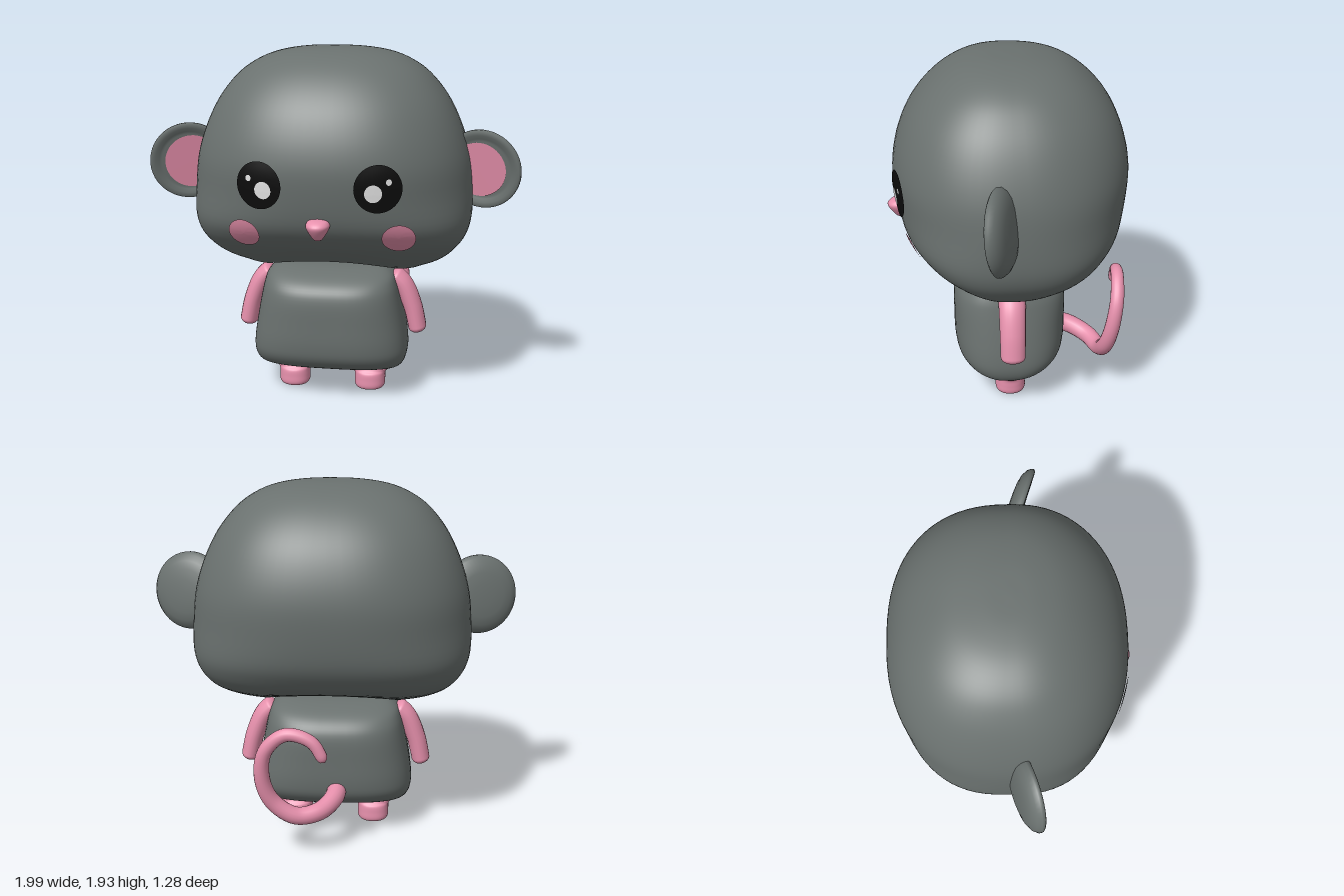
import * as THREE from 'three';
import { mergeVertices } from 'three/addons/utils/BufferGeometryUtils.js';

const paint = (name, color) => {
  const m = new THREE.MeshStandardMaterial({ color });
  m.name = name;
  return m;
};

function part(name, geometry, material, parent) {
  const m = new THREE.Mesh(geometry, material);
  m.name = name;
  parent.add(m);
  return m;
}

// Weld seams and poles, then smooth the normals
function smooth(geo) {
  geo.deleteAttribute('normal');
  geo.deleteAttribute('uv');
  const g = mergeVertices(geo, 1e-4);
  g.computeVertexNormals();
  return g;
}

// Rows are [y, half width, front depth, back depth], bottom to top, splined to `count` rows
function refine(rows, count) {
  const p = new THREE.CatmullRomCurve3(rows.map(r => new THREE.Vector3(r[0], r[1], r[2])), false, 'catmullrom');
  const q = new THREE.CatmullRomCurve3(rows.map(r => new THREE.Vector3(r[3], 0, 0)), false, 'catmullrom');
  return Array.from({ length: count + 1 }, (_, i) => {
    const a = p.getPoint(i / count), b = q.getPoint(i / count);
    return [a.x, Math.max(0, a.y), Math.max(0, a.z), Math.max(0, b.x)];
  });
}

// Superellipse layers joined into a closed skin; power(y, isFront) sets the squareness
function loft(rows, power, seg = 64, bend = (x, y) => y) {
  const pos = [], idx = [];
  for (const [y, a, f, b] of rows) {
    for (let j = 0; j <= seg; j++) {
      const t = ((j % seg) / seg) * Math.PI * 2;
      const front = Math.sin(t) > 0, n = power(y, front);
      const pw = v => Math.sign(v) * Math.pow(Math.abs(v), 2 / n);
      const x = a * pw(Math.cos(t));
      pos.push(x, bend(x, y), pw(Math.sin(t)) * (front ? f : b));
    }
  }
  for (let i = 0; i < rows.length - 1; i++) {
    for (let j = 0; j < seg; j++) {
      const a = i * (seg + 1) + j, c = a + seg + 1;
      idx.push(a, c, a + 1, a + 1, c, c + 1);
    }
  }
  const g = new THREE.BufferGeometry();
  g.setAttribute('position', new THREE.Float32BufferAttribute(pos, 3));
  g.setIndex(idx);
  return smooth(g);
}

// Tube with a changing radius and rounded ends
function limb(points, r0, r1, round, zScale = 1) {
  const curve = new THREE.CatmullRomCurve3(points.map(p => new THREE.Vector3(...p)));
  const segs = 90, radial = 18;
  const g = new THREE.TubeGeometry(curve, segs, 1, radial);
  const pos = g.attributes.position, v = new THREE.Vector3();
  for (let i = 0; i < pos.count; i++) {
    const t = Math.floor(i / (radial + 1)) / segs;
    const c = curve.getPointAt(t);
    const d = Math.min(1, Math.min(t, 1 - t) / round);
    const r = (r0 + (r1 - r0) * t) * Math.sqrt(1 - (1 - d) * (1 - d));
    v.fromBufferAttribute(pos, i).sub(c).multiplyScalar(r);
    v.z *= zScale;
    v.add(c);
    pos.setXYZ(i, v.x, v.y, v.z);
  }
  return smooth(g);
}

// Head is squarer around the jaw than higher up
const headPower = (y, front) =>
  THREE.MathUtils.lerp(2.85, front ? 2.28 : 2.4, THREE.MathUtils.smoothstep(y, 0.85, 1.25));
const headRows = refine([
  [0.72, 0.36, 0, 0], [0.735, 0.44, 0.09, 0.09], [0.76, 0.5, 0.15, 0.17], [0.81, 0.6, 0.25, 0.3],
  [0.88, 0.675, 0.365, 0.45], [0.97, 0.73, 0.475, 0.54], [1.09, 0.75, 0.56, 0.605], [1.3, 0.738, 0.6, 0.638],
  [1.45, 0.705, 0.59, 0.63], [1.6, 0.645, 0.54, 0.585], [1.72, 0.57, 0.466, 0.515], [1.82, 0.472, 0.366, 0.415],
  [1.89, 0.34, 0.25, 0.295], [1.923, 0.18, 0.125, 0.145], [1.93, 0, 0, 0],
], 70);

// Depth of the face at a given x and y
function faceZ(x, y) {
  const i = headRows.findIndex(r => r[0] > y), lo = headRows[i - 1], hi = headRows[i];
  const t = (y - lo[0]) / (hi[0] - lo[0]), n = headPower(y, true);
  const a = lo[1] + (hi[1] - lo[1]) * t, f = lo[2] + (hi[2] - lo[2]) * t;
  return f * Math.pow(Math.max(0, 1 - Math.pow(Math.abs(x / a), n)), 1 / n);
}

// Thin round patch that follows the face
function patch(x, y, rx, ry, lift) {
  const g = new THREE.RingGeometry(0.0001, 1, 40, 5);
  const pos = g.attributes.position;
  for (let i = 0; i < pos.count; i++) {
    const px = x + pos.getX(i) * rx, py = y + pos.getY(i) * ry;
    pos.setXYZ(i, px, py, faceZ(px, py) + lift);
  }
  g.computeVertexNormals();
  return g;
}

export function createModel() {
  const model = new THREE.Group();
  model.name = 'mouse';
  const grey = paint('grey fur', 0x6a716f);
  const pink = paint('pink skin', 0xe690ac);
  const blush = paint('blush pink', 0xe28da8);
  const black = paint('eye black', 0x0c0c0c);
  const white = paint('eye shine', 0xf8f8f8);

  // Head, with the underside arched over the body
  const arch = (x, y) => y + 0.033 * Math.max(0, 1 - (x / 0.36) ** 2) * THREE.MathUtils.clamp((0.93 - y) / 0.21, 0, 1);
  part('head', loft(headRows, headPower, 80, arch), grey, model);

  // Torso group sits slightly to the right of the head
  const torso = new THREE.Group();
  torso.name = 'torso';
  torso.position.x = -0.015;
  model.add(torso);
  part('body', loft(refine([
    [0.143, 0.32, 0, 0], [0.155, 0.37, 0.12, 0.14], [0.19, 0.41, 0.215, 0.24], [0.25, 0.429, 0.272, 0.302],
    [0.33, 0.426, 0.292, 0.323], [0.45, 0.407, 0.295, 0.327], [0.58, 0.382, 0.292, 0.325], [0.65, 0.366, 0.266, 0.296],
    [0.7, 0.345, 0.2, 0.23], [0.735, 0.29, 0.1, 0.12], [0.745, 0.22, 0, 0],
  ], 44), () => 2.9), grey, torso);

  // Nose
  const nose = part('nose', loft(refine([
    [-0.055, 0, 0, 0], [-0.05, 0.02, 0.022, 0.02], [-0.02, 0.042, 0.05, 0.04], [0.015, 0.06, 0.071, 0.04],
    [0.035, 0.057, 0.062, 0.04], [0.05, 0.04, 0.036, 0.03], [0.056, 0, 0, 0],
  ], 24), () => 2.1, 32), pink, model);
  nose.position.set(0, 1.075, 0.57);

  // Ear shell and its inner disc
  const shell = smooth(new THREE.LatheGeometry([
    [0, -0.048], [0.06, -0.047], [0.12, -0.042], [0.165, -0.031], [0.197, -0.012], [0.213, 0.01],
    [0.214, 0.024], [0.205, 0.032], [0.185, 0.03], [0.165, 0.022], [0.15, 0.018], [0, 0.018],
  ].map(p => new THREE.Vector2(...p)), 48)).rotateX(Math.PI / 2);
  const inner = new THREE.CircleGeometry(0.147, 48);

  for (const s of [1, -1]) {
    const side = s > 0 ? 'left' : 'right';

    const ear = new THREE.Group();
    ear.name = side + 'Ear';
    ear.position.set(0.797 * s, 1.307, 0.053);
    ear.rotation.set(0.14, -0.31 * s, 0);
    part(side + 'EarShell', shell, grey, ear);
    part(side + 'EarInner', inner, blush, ear).position.set(-0.014 * s, -0.003, 0.025);
    model.add(ear);

    // Eyes and cheeks
    part(side + 'Eye', patch(0.297 * s, 1.29, 0.117, 0.122, 0.009), black, model);
    part(side + 'EyeShine', patch(0.275 * s, 1.268, 0.043, 0.045, 0.013), white, model);
    part(side + 'EyeSparkle', patch(0.35 * s, 1.325, 0.014, 0.016, 0.013), white, model);
    part(side + 'Cheek', patch(0.396 * s, 1.02, 0.084, 0.08, 0.009), blush, model);

    // Arms
    part(side + 'Arm', limb([
      [0.33 * s, 0.69, -0.015], [0.395 * s, 0.63, -0.015], [0.45 * s, 0.51, -0.015], [0.488 * s, 0.348, -0.015],
    ], 0.056, 0.05, 0.09, 1.32), pink, torso);

    // Feet, flaring out under the body
    const foot = part(side + 'Foot', loft(refine([
      [0, 0, 0, 0], [0.002, 0.06, 0.06, 0.06], [0.02, 0.084, 0.082, 0.082], [0.06, 0.087, 0.083, 0.083],
      [0.095, 0.088, 0.08, 0.08], [0.112, 0.098, 0.065, 0.065], [0.133, 0.128, 0.055, 0.055],
      [0.15, 0.12, 0.05, 0.05], [0.17, 0, 0, 0],
    ], 40), () => 2.2, 36), pink, torso);
    foot.position.set(0.217 * s, 0, -0.015);
  }

  // Curled tail
  part('tail', limb([
    [-0.02, 0.3, -0.25], [-0.015, 0.28, -0.36], [0.06, 0.245, -0.47], [0.18, 0.24, -0.52], [0.3, 0.33, -0.54],
    [0.348, 0.47, -0.565], [0.325, 0.63, -0.588], [0.22, 0.722, -0.6], [0.09, 0.69, -0.61], [0.02, 0.58, -0.613],
  ], 0.054, 0.03, 0.035), pink, torso);

  return model;
}
